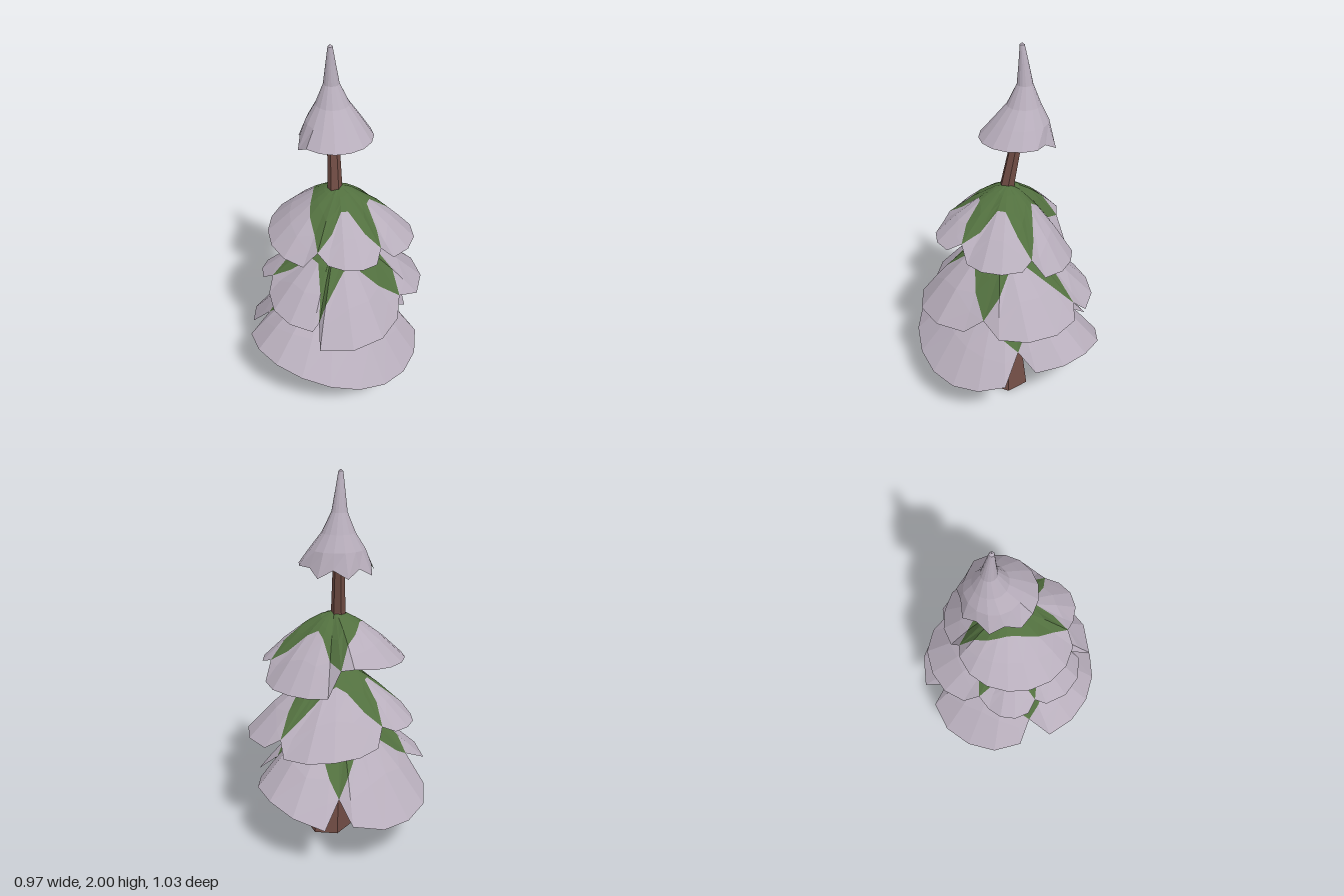
import * as THREE from 'three';

const mat = (name, color) => {
  const m = new THREE.MeshStandardMaterial({ color, flatShading: true });
  m.name = name;
  return m;
};

const { lerp } = THREE.MathUtils;

// Joins closed rings of points, listed from the top or centre outward, into a skin.
function loft(name, rings, material, inward = false) {
  const pos = [];
  const n = rings[0].length;
  const tri = (a, b, c) => {
    for (const p of inward ? [a, c, b] : [a, b, c]) pos.push(...p);
  };
  for (let k = 0; k < rings.length - 1; k++) {
    for (let i = 0; i < n; i++) {
      const j = (i + 1) % n;
      tri(rings[k][i], rings[k][j], rings[k + 1][j]);
      tri(rings[k][i], rings[k + 1][j], rings[k + 1][i]);
    }
  }
  const g = new THREE.BufferGeometry();
  g.setAttribute('position', new THREE.Float32BufferAttribute(pos, 3));
  g.computeVertexNormals();
  const mesh = new THREE.Mesh(g, material);
  mesh.name = name;
  return mesh;
}

// Regular ring around a centre.
const circle = (x, y, z, r, n) => Array.from({ length: n }, (_, i) => {
  const a = (i / n) * Math.PI * 2;
  return [x + r * Math.cos(a), y, z + r * Math.sin(a)];
});

// Each lobe of snow: [start angle, end angle, start radius, end radius, start y, end y].
const LOWER = [
  [7, 162, 0.5, 0.53, 0.32, 0.34],
  [183, 255, 0.51, 0.53, 0.32, 0.33],
  [271, 345, 0.55, 0.46, 0.28, 0.31],
];
const MIDDLE = [
  [-43, 11, 0.5, 0.49, 0.63, 0.62],
  [38, 100, 0.45, 0.51, 0.59, 0.57],
  [107, 158, 0.44, 0.41, 0.63, 0.68],
  [175, 209, 0.42, 0.39, 0.7, 0.69],
  [232, 300, 0.41, 0.49, 0.65, 0.61],
];
const UPPER = [
  [-5, 38, 0.43, 0.4, 1.0, 0.99],
  [58, 96, 0.41, 0.37, 1.02, 1.03],
  [117, 248, 0.38, 0.32, 1.0, 1.06],
  [273, 337, 0.33, 0.42, 0.91, 0.93],
];

// Rim points [x, y, z, fraction where the snow begins], with a bare notch after each lobe.
function rimOf(lobes, notch, saddle) {
  const rim = [];
  const add = (deg, r, y, snowStart) => {
    const a = THREE.MathUtils.degToRad(deg);
    const warp = saddle * Math.cos(2 * a - Math.PI / 2);
    rim.push([r * Math.cos(a), y - warp, r * Math.sin(a), snowStart]);
  };
  lobes.forEach(([a0, a1, r0, r1, y0, y1], k) => {
    const steps = Math.max(3, Math.round((a1 - a0) / 18));
    for (let i = 0; i <= steps; i++) {
      const u = i / steps;
      const side = Math.abs(2 * u - 1);
      add(lerp(a0, a1, u), lerp(r0, r1, u) * (1 - 0.06 * side ** 4), lerp(y0, y1, u), 0.36 + 0.32 * side ** 2);
    }
    const next = lobes[(k + 1) % lobes.length];
    const nextAngle = next[0] + (k === lobes.length - 1 ? 360 : 0);
    add((a1 + nextAngle) / 2, Math.min(r1, next[2]) * notch, (y1 + next[4]) / 2 + 0.4 * (1 - notch), 1);
  });
  return rim;
}

function tier(name, apex, rim, snow, green) {
  // Point at fraction t from the apex to a rim row, on a domed slope.
  const at = (row, t, sink) => [
    lerp(apex[0], row[0], t),
    lerp(apex[1], row[1], t ** 1.45) - sink * (1 - t),
    lerp(apex[2], row[2], t),
  ];
  const ring = (f, sink = 0) => rim.map((row) => at(row, f(row[3]), sink));
  const g = new THREE.Group();
  g.name = name;
  g.add(
    loft('needles', [ring(() => 0), ring(() => 0.2), ring((s) => (0.2 + s) / 2), ring((s) => s)], green),
    loft('snow', [ring((s) => s), ring((s) => (1 + s) / 2), ring(() => 1)], snow),
    loft('underside', [0, 0.3, 0.65, 1].map((t) => ring(() => t, 0.035)), green, true),
  );
  return g;
}

function treeTip(snow, green) {
  const n = 16;
  // Rows of the curved spire: [x, y, z, radius].
  const rows = [
    [-0.02, 2, -0.07, 0.001], [-0.02, 1.99, -0.07, 0.012], [-0.018, 1.9, -0.078, 0.025],
    [-0.015, 1.8, -0.085, 0.04], [-0.01, 1.7, -0.08, 0.085], [-0.003, 1.62, -0.065, 0.14],
  ];
  // Rim, ragged on the right and back.
  const edge = circle(0, 1.54, -0.05, 0.195, n).map(([x, y, z], i) => {
    const ragged = i > 6 && i < 15;
    const pull = ragged && i % 2 === 0 ? 0.88 : 1;
    return [x * pull, y - (ragged && i % 2 ? 0.04 : 0), -0.05 + (z + 0.05) * pull];
  });
  const g = new THREE.Group();
  g.name = 'treeTip';
  g.add(
    loft('snow', [...rows.map((r) => circle(...r, n)), edge], snow),
    loft('underside', [circle(-0.01, 1.68, -0.07, 0.001, n), circle(0, 1.6, -0.06, 0.13, n), edge], green, true),
  );
  return g;
}

export function createModel() {
  const snow = mat('snow', 0xb8aebc);
  const green = mat('needle green', 0x52703f);
  const bark = mat('bark brown', 0x704c44);

  const tree = new THREE.Group();
  tree.name = 'snowyTree';

  // Six-sided trunk that leans back toward the tip, closed at the foot.
  const trunk = [
    [-0.01, 1.64, -0.07, 0.026], [0, 1.28, 0, 0.038], [0, 1, 0.02, 0.048], [0, 0.7, 0.035, 0.06],
    [0.03, 0.38, 0.015, 0.082], [0.058, 0, 0.012, 0.128], [0.058, 0, 0.012, 0.001],
  ];
  tree.add(loft('trunk', trunk.map((r) => circle(...r, 6)), bark));

  tree.add(
    tier('lowerBranches', [0, 0.74, 0.02], rimOf(LOWER, 0.74, 0.07), snow, green),
    tier('middleBranches', [0.01, 0.99, 0.04], rimOf(MIDDLE, 0.85, 0), snow, green),
    tier('upperBranches', [0.02, 1.285, 0], rimOf(UPPER, 0.85, 0), snow, green),
    treeTip(snow, green),
  );
  return tree;
}
